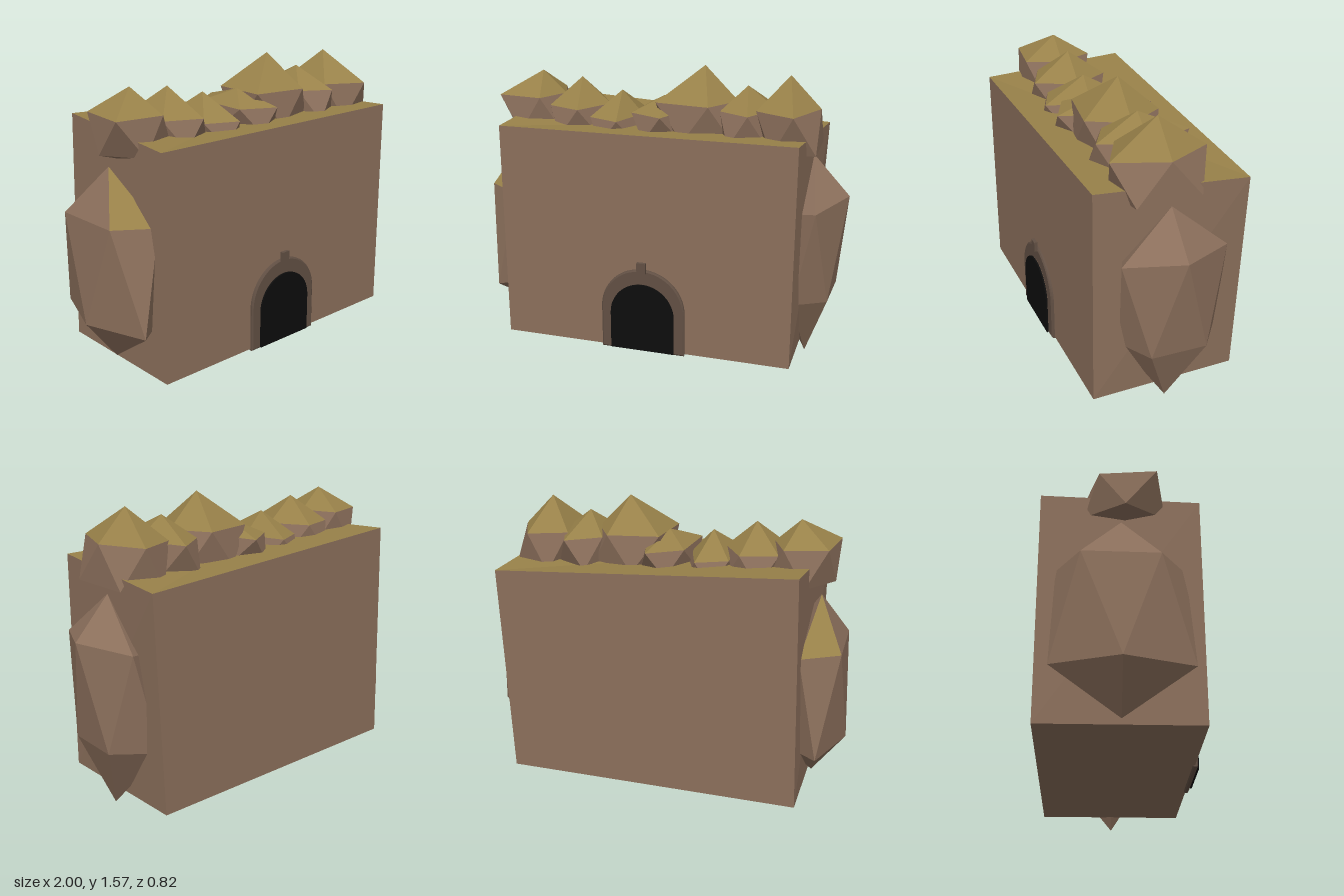
import * as THREE from 'three';

const makeMaterial = (name, color) => {
  const m = new THREE.MeshStandardMaterial({ color });
  m.name = name;
  return m;
};

// Ten-sided-belt rock: apex, two staggered five-point rings, lower tip.
// Gently sloping upper faces get the second material (moss).
function rockGeometry({ x, z = 0.01, top, upperY, lowerY, bottom, rx, rz, up = [1, 1, 1, 1, 1], low = [1, 1, 1, 1, 1], tilt = 0 }) {
  const ring = (y, scales, start, lean) => scales.map((s, i) => {
    const a = start + (i * Math.PI * 2) / 5;
    return new THREE.Vector3(x + Math.cos(a) * rx * s, y + lean * Math.cos(a), z + Math.sin(a) * rz * s);
  });
  const upper = ring(upperY, up, 0, tilt);
  const lower = ring(lowerY, low, Math.PI / 5, 0);
  const apex = new THREE.Vector3(x, top, z);
  const tip = new THREE.Vector3(x, bottom, z);
  const mossy = [], bare = [];
  const add = (a, b, c) => {
    const n = b.clone().sub(a).cross(c.clone().sub(a)).normalize();
    (n.y > 0.64 ? mossy : bare).push(a, b, c);
  };
  for (let i = 0; i < 5; i++) {
    const j = (i + 1) % 5;
    add(apex, upper[j], upper[i]);
    add(upper[i], upper[j], lower[i]);
    add(lower[i], upper[j], lower[j]);
    add(tip, lower[i], lower[j]);
  }
  const g = new THREE.BufferGeometry().setFromPoints([...bare, ...mossy]);
  g.addGroup(0, bare.length, 0);
  g.addGroup(bare.length, mossy.length, 1);
  g.computeVertexNormals();
  return g;
}

// Round-headed opening outline
function archOutline(target, r, base, spring) {
  target.moveTo(-r, base);
  target.lineTo(r, base);
  target.lineTo(r, spring);
  target.absarc(0, spring, r, 0, Math.PI, false);
  target.lineTo(-r, base);
  return target;
}

export function createModel() {
  const model = new THREE.Group();
  model.name = 'rockGateway';
  const stone = makeMaterial('brown stone', 0x8c705c);
  const moss = makeMaterial('olive moss', 0x988149);
  const trim = makeMaterial('dark stone trim', 0x625044);
  const dark = makeMaterial('black opening', 0x0d0d0d);

  const add = (name, geometry, material) => {
    const mesh = new THREE.Mesh(geometry, material);
    mesh.name = name;
    model.add(mesh);
    return mesh;
  };

  // Cliff block with slightly skewed rear top corners
  const block = new THREE.BoxGeometry(1.58, 1.18, 0.79).toNonIndexed();
  block.translate(-0.01, 0.67, -0.015);
  const p = block.attributes.position;
  for (let i = 0; i < p.count; i++) {
    if (p.getY(i) < 1 || p.getZ(i) > 0) continue;
    if (p.getX(i) > 0) p.setXYZ(i, 0.83, 1.215, -0.41);
    else p.setXYZ(i, -0.765, 1.31, -0.41);
  }
  block.computeVertexNormals();
  add('cliffBlock', block, [stone, stone, moss, stone, stone, stone]);

  // Row of mossy rocks along the crest
  const crest = [
    { x: -0.70, top: 1.50, upperY: 1.38, lowerY: 1.19, bottom: 1.13, rx: 0.19, rz: 0.21, up: [0.7, 0.95, 1.25, 1.05, 0.95] },
    { x: -0.47, top: 1.475, upperY: 1.335, lowerY: 1.19, bottom: 1.13, rx: 0.17, rz: 0.23, up: [0.95, 1, 1, 1.05, 0.9] },
    { x: -0.24, top: 1.415, upperY: 1.29, lowerY: 1.17, bottom: 1.11, rx: 0.145, rz: 0.25, up: [0.8, 1, 1.1, 1, 0.95] },
    { x: 0.0, top: 1.40, upperY: 1.33, lowerY: 1.2, bottom: 1.13, rx: 0.15, rz: 0.26, up: [0.9, 1.05, 1.1, 1, 1.1] },
    { x: 0.22, top: 1.57, upperY: 1.39, lowerY: 1.2, bottom: 1.12, rx: 0.22, rz: 0.22, up: [0.82, 1, 1.25, 1.15, 0.95] },
    { x: 0.45, top: 1.475, upperY: 1.36, lowerY: 1.2, bottom: 1.13, rx: 0.16, rz: 0.26, up: [0.95, 0.95, 0.9, 0.9, 1.05] },
    { x: 0.67, top: 1.54, upperY: 1.375, lowerY: 1.17, bottom: 1.13, rx: 0.18, rz: 0.26, up: [0.9, 1.08, 1, 1, 0.95], low: [1.15, 0.9, 0.9, 0.95, 1.1] },
  ];
  crest.forEach((r, i) => add(`crestRock${i + 1}`, rockGeometry(r), [stone, moss]));

  // Tall boulders at both ends
  add('leftBoulder', rockGeometry({
    x: 0.805, z: -0.01, top: 1.13, upperY: 0.88, lowerY: 0.37, bottom: 0.005, rx: 0.19, rz: 0.3,
    up: [1.02, 0.98, 1, 1, 0.98], low: [0.8, 0.84, 1, 1.1, 0.88], tilt: 0.04,
  }), [stone, moss]);
  add('rightBoulder', rockGeometry({
    x: -0.825, z: -0.01, top: 1.12, upperY: 0.87, lowerY: 0.33, bottom: 0.1, rx: 0.175, rz: 0.33,
    up: [1, 1, 0.95, 1, 1], low: [1, 1.08, 1, 1.06, 1],
  }), [stone, moss]);

  // Arched surround with a small bevel
  const surround = archOutline(new THREE.Shape(), 0.222, 0.08, 0.31);
  surround.holes.push(archOutline(new THREE.Path(), 0.17, 0.081, 0.29));
  const surroundGeo = new THREE.ExtrudeGeometry(surround, {
    depth: 0.014, curveSegments: 16, bevelThickness: 0.006, bevelSize: 0.008, bevelOffset: 0, bevelSegments: 1,
  });
  add('archSurround', surroundGeo, trim).position.set(-0.01, 0, 0.376);

  // Dark doorway
  const opening = archOutline(new THREE.Shape(), 0.175, 0.08, 0.285);
  const openingGeo = new THREE.ExtrudeGeometry(opening, { depth: 0.009, curveSegments: 12, bevelEnabled: false });
  add('doorway', openingGeo, dark).position.set(-0.01, 0, 0.398);

  // Keystone
  add('keystone', new THREE.BoxGeometry(0.048, 0.058, 0.018), trim).position.set(-0.012, 0.555, 0.402);

  return model;
}
